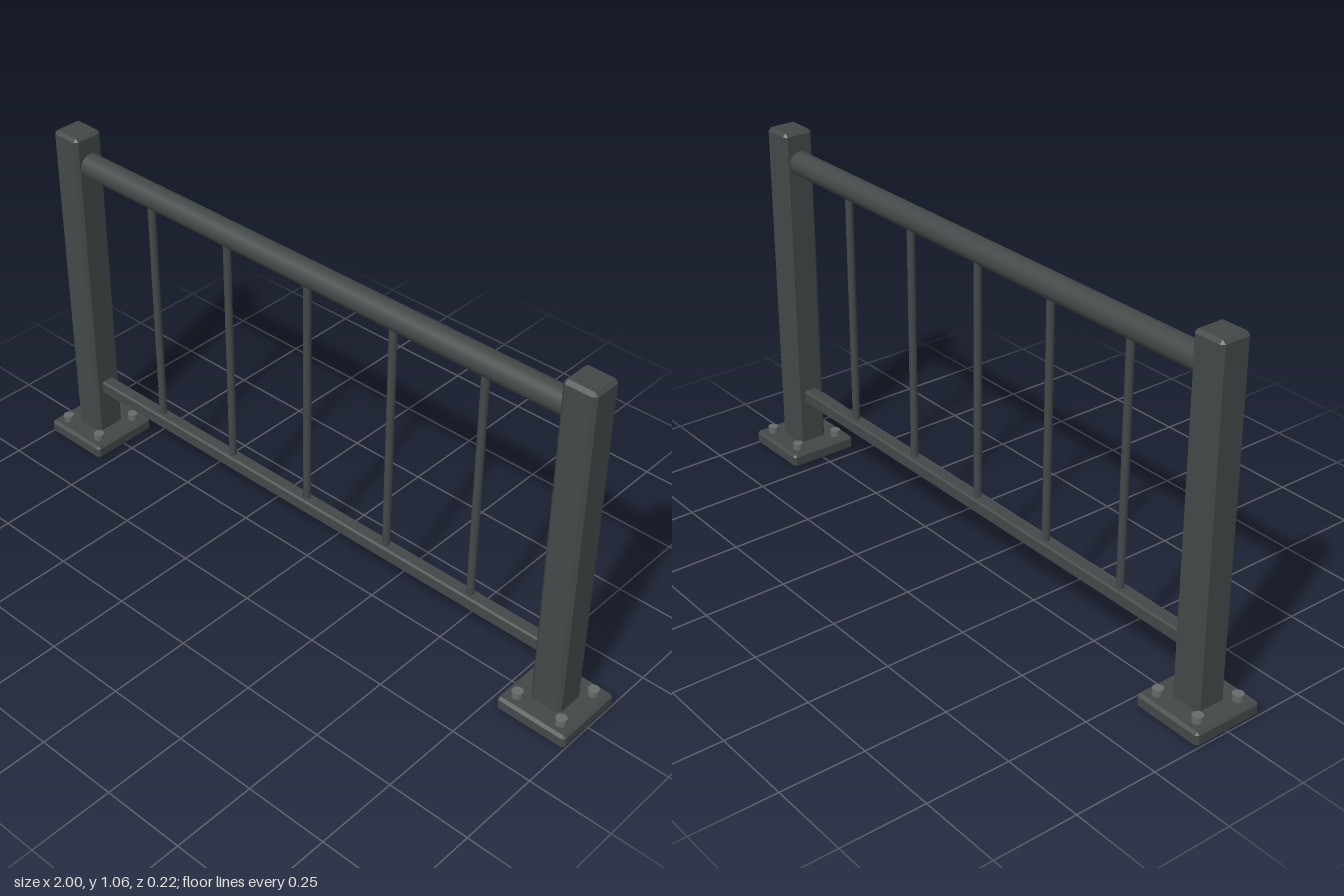
import * as THREE from 'three';
import { ConvexGeometry } from 'three/addons/geometries/ConvexGeometry.js';

// Box with every edge cut by a flat chamfer c
function chamferBox(w, h, d, c) {
  const points = [];
  for (const sx of [-1, 1]) for (const sy of [-1, 1]) for (const sz of [-1, 1]) {
    for (let axis = 0; axis < 3; axis++) {
      const inset = [c, c, c];
      inset[axis] = 0;
      points.push(new THREE.Vector3(
        sx * (w / 2 - inset[0]), sy * (h / 2 - inset[1]), sz * (d / 2 - inset[2])));
    }
  }
  return new ConvexGeometry(points);
}

export function createModel() {
  const model = new THREE.Group();
  model.name = 'railing';
  const paint = new THREE.MeshStandardMaterial({ color: 0x434849 });
  paint.name = 'dark grey paint';
  const steel = new THREE.MeshStandardMaterial({ color: 0x666b6c });
  steel.name = 'bolt steel';

  function add(parent, name, geometry, material, x, y, z) {
    const mesh = new THREE.Mesh(geometry, material);
    mesh.name = name;
    mesh.position.set(x, y, z);
    parent.add(mesh);
    return mesh;
  }

  // Posts on bolted base plates
  const postX = 0.89;
  const postGeometry = chamferBox(0.097, 1.035, 0.097, 0.01);
  const plateGeometry = chamferBox(0.22, 0.044, 0.22, 0.008);
  const boltGeometry = new THREE.CylinderGeometry(0.016, 0.016, 0.024, 12);
  for (const side of [-1, 1]) {
    const post = new THREE.Group();
    post.name = side > 0 ? 'leftPost' : 'rightPost';
    post.position.x = side * postX;
    model.add(post);
    add(post, 'upright', postGeometry, paint, 0, 0.5475, 0);
    add(post, 'basePlate', plateGeometry, paint, 0, 0.022, 0);
    for (const x of [-0.071, 0.071]) for (const z of [-0.071, 0.071]) {
      add(post, 'bolt', boltGeometry, steel, x, 0.051, z);
    }
  }

  // Round handrail and square lower rail
  const handrail = add(model, 'handrail',
    new THREE.CylinderGeometry(0.036, 0.036, 1.72, 24), paint, 0, 0.969, 0);
  handrail.rotation.z = Math.PI / 2;
  add(model, 'lowerRail', chamferBox(1.72, 0.042, 0.042, 0.005), paint, 0, 0.199, 0);

  // Evenly spaced balusters
  const balusterGeometry = new THREE.CylinderGeometry(0.0115, 0.0115, 0.76, 12);
  for (let i = -2; i <= 2; i++) {
    add(model, 'baluster', balusterGeometry, paint, i * 0.296, 0.575, 0);
  }
  return model;
}
